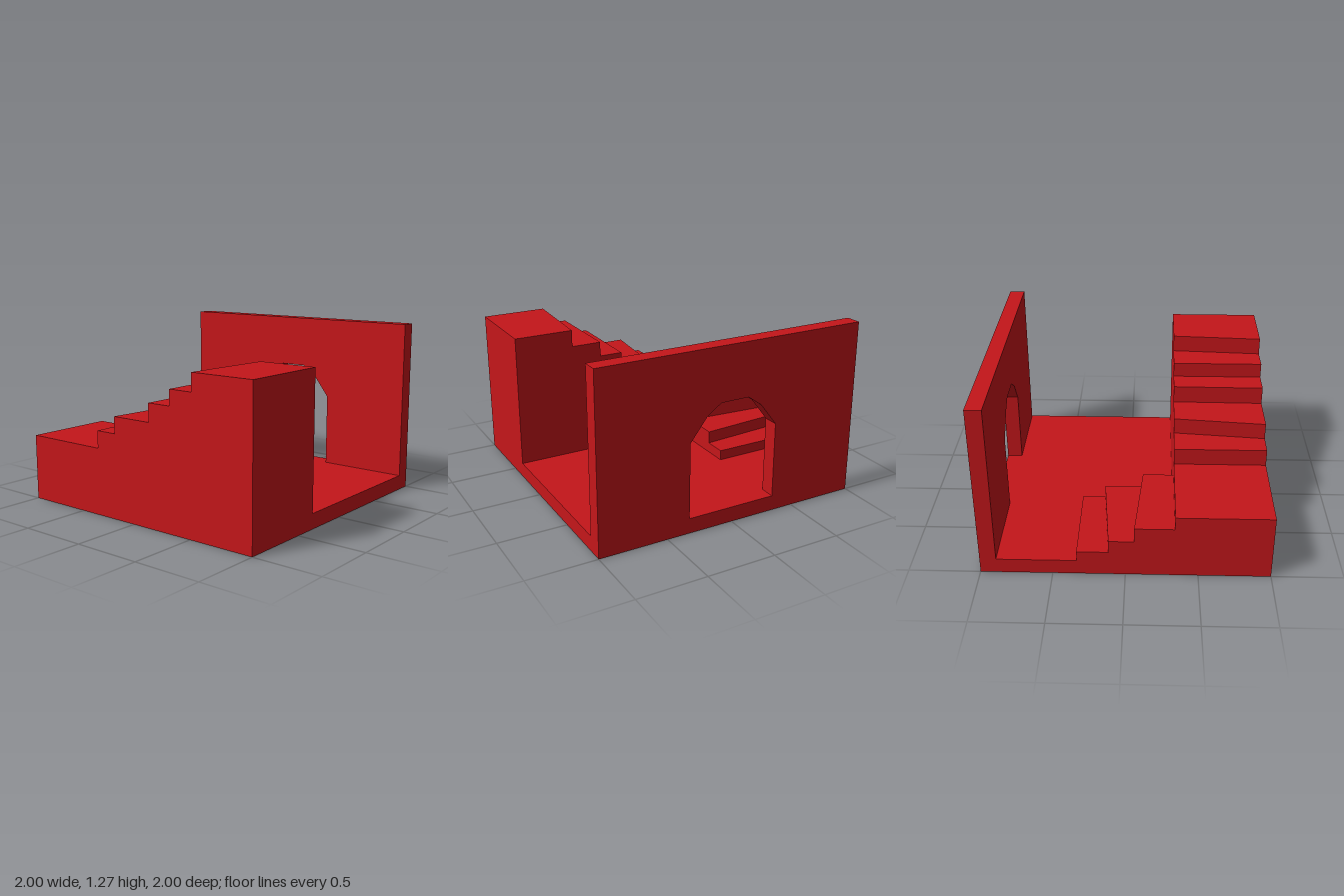
import * as THREE from 'three';

const BASE = 0.11; // thickness of the floor slab
const material = new THREE.MeshStandardMaterial({ color: 0xc4161a, flatShading: true });

function extrude(points, depth) {
  const shape = new THREE.Shape(points.map(([x, y]) => new THREE.Vector2(x, y)));
  return new THREE.ExtrudeGeometry(shape, { depth, bevelEnabled: false });
}

function addMesh(parent, name, geometry) {
  const mesh = new THREE.Mesh(geometry, material);
  mesh.name = name;
  parent.add(mesh);
  return mesh;
}

// Upright block with a plan outline of [x, z] corners, from the floor to a given height
function addBlock(parent, name, plan, top) {
  const geometry = extrude(plan.map(([x, z]) => [x, -z]), top - BASE);
  geometry.rotateX(-Math.PI / 2).translate(0, BASE, 0);
  return addMesh(parent, name, geometry);
}

export function createModel() {
  const model = new THREE.Group();
  model.name = 'stairCourt';
  const T = 1 / 3;

  // Floor slab
  addMesh(model, 'floor', new THREE.BoxGeometry(2, BASE, 2).translate(0, BASE / 2, 0));

  // Side wall with a faceted arched doorway open down to the floor
  const wall = extrude([
    [-1, BASE], [-T, BASE], [-T, 0.655], [-0.21, 0.815], [-0.105, 0.89],
    [0.105, 0.89], [0.21, 0.815], [T, 0.655], [T, BASE],
    [1, BASE], [1, 1.275], [-1, 1.275],
  ], 0.113);
  wall.rotateY(Math.PI / 2).translate(0.887, 0, 0);
  addMesh(model, 'archWall', wall);

  // Corner landing between the two flights
  addBlock(model, 'landing', [[-1, -1], [-T, -1], [-T, -0.337], [-1, -0.337]], 0.48);

  // Lower flight: riser x at the back edge and at the inner edge, with tread heights
  const lower = new THREE.Group();
  lower.name = 'lowerStairs';
  const lowerRisers = [[-T, -T], [-0.06, -0.11], [0.115, 0.167], [T, T]];
  [0.385, 0.277, 0.185].forEach((top, i) => {
    const [a, b] = lowerRisers[i], [c, d] = lowerRisers[i + 1];
    addBlock(lower, 'lowerStep', [[a, -1], [c, -1], [d, -0.337], [b, -0.337]], top);
  });
  model.add(lower);

  // Upper flight: riser z at the outer edge and at the inner edge, with tread heights
  const upper = new THREE.Group();
  upper.name = 'upperStairs';
  const upperRisers = [[-0.337, -0.337], [-0.17, -0.105], [0.15, 0.157], [T, T], [0.52, 0.56], [1, 1]];
  [0.605, 0.725, 0.855, 0.965, 1.09].forEach((top, i) => {
    const [a, b] = upperRisers[i], [c, d] = upperRisers[i + 1];
    addBlock(upper, 'upperStep', [[-1, a], [-T, b], [-T, d], [-1, c]], top);
  });
  model.add(upper);

  return model;
}
